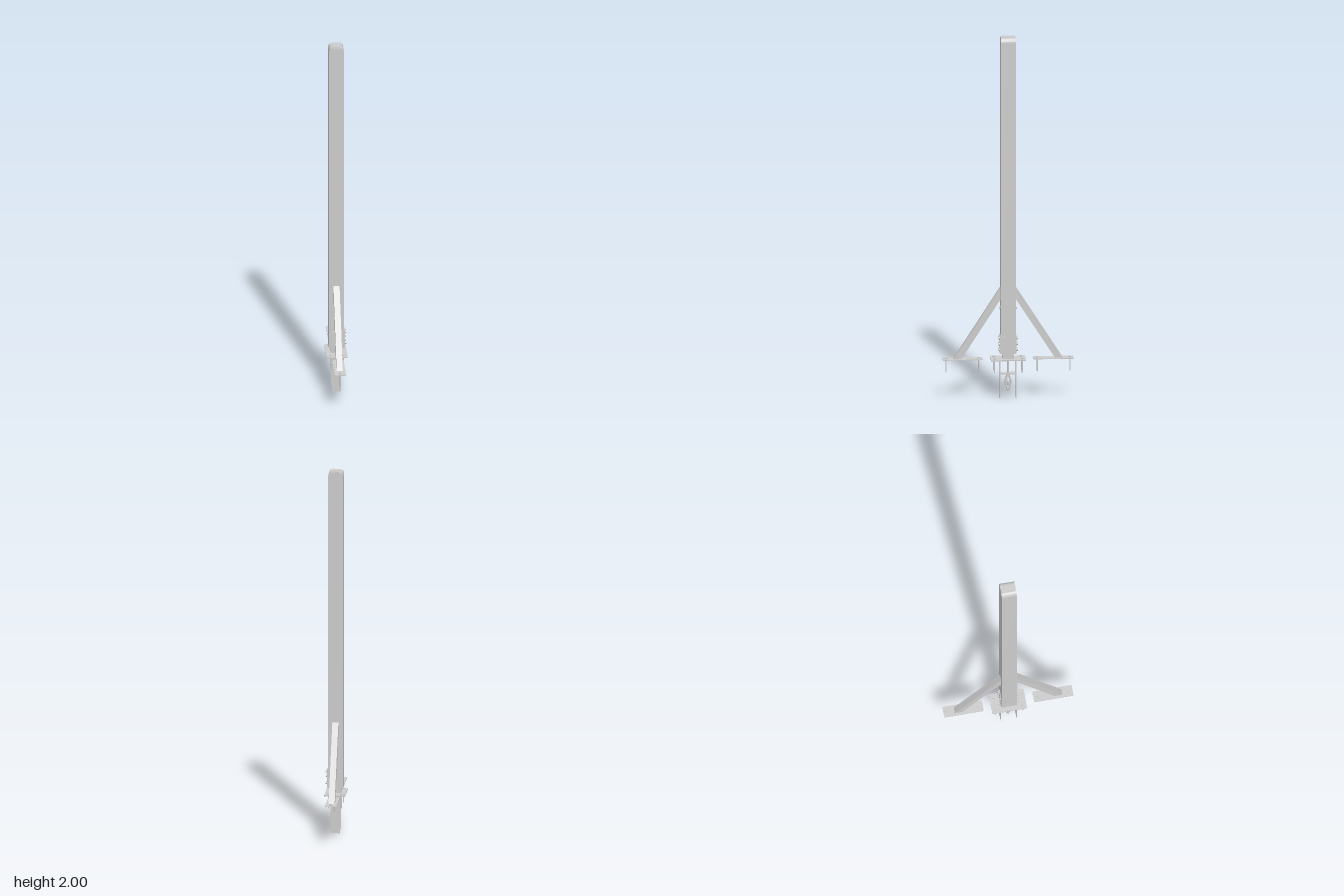
import * as THREE from 'three';
import { toCreasedNormals } from 'three/addons/utils/BufferGeometryUtils.js';

const steel = new THREE.MeshStandardMaterial({ color: 0xcccccc });

function add(parent, name, geometry, x = 0, y = 0, z = 0) {
  const mesh = new THREE.Mesh(geometry, steel);
  mesh.name = name;
  mesh.position.set(x, y, z);
  parent.add(mesh);
  return mesh;
}

const box = (w, h, d) => new THREE.BoxGeometry(w, h, d);

// Flat plate with rounded corners, lying in the xz plane, top face at y = 0
function roundedPlate(w, d, r, t) {
  const s = new THREE.Shape();
  const a = w / 2, b = d / 2;
  s.moveTo(-a + r, -b);
  s.lineTo(a - r, -b).quadraticCurveTo(a, -b, a, -b + r);
  s.lineTo(a, b - r).quadraticCurveTo(a, b, a - r, b);
  s.lineTo(-a + r, b).quadraticCurveTo(-a, b, -a, b - r);
  s.lineTo(-a, -b + r).quadraticCurveTo(-a, -b, -a + r, -b);
  const g = new THREE.ExtrudeGeometry(s, { depth: t, bevelEnabled: false, curveSegments: 5 });
  return g.rotateX(-Math.PI / 2).translate(0, -t, 0);
}

// Anchor bolt going down into the ground
function anchorBolt(parent, x, z) {
  const bolt = new THREE.Group();
  bolt.name = 'anchorBolt';
  bolt.position.set(x, 0.22, z);
  add(bolt, 'anchorHead', new THREE.CylinderGeometry(0.007, 0.007, 0.006, 16), 0, 0.003, 0);
  add(bolt, 'anchorShank', new THREE.CylinderGeometry(0.0035, 0.0035, 0.075, 12), 0, -0.0375, 0);
  parent.add(bolt);
}

// Hex bolt with washer facing local +z
function hexBolt(parent, x, y, z, r = 0.007) {
  const washer = new THREE.CylinderGeometry(r * 1.2, r * 1.2, 0.002, 16).rotateX(Math.PI / 2);
  const head = new THREE.CylinderGeometry(r, r, 0.006, 6).rotateX(Math.PI / 2);
  add(parent, 'boltWasher', washer, x, y, z + 0.001);
  add(parent, 'boltHead', head, x, y, z + 0.005);
}

export function createModel() {
  const model = new THREE.Group();
  model.name = 'bracedPost';

  // Square post whose top edges are rounded on the left and right
  const half = 0.041, top = 1.997, r = 0.03;
  const profile = new THREE.Shape();
  profile.moveTo(-half, 0.25);
  profile.lineTo(half, 0.25);
  profile.lineTo(half, top - r);
  profile.quadraticCurveTo(half, top, half - r * 0.7, top);
  profile.lineTo(-half + r * 0.7, top);
  profile.quadraticCurveTo(-half, top, -half, top - r);
  const post = new THREE.ExtrudeGeometry(profile, {
    depth: half * 2, bevelEnabled: false, curveSegments: 8,
  }).translate(0, 0, -half);
  add(model, 'post', toCreasedNormals(post, 0.6));
  add(model, 'topCap', box(0.04, 0.012, 0.07), 0, 1.994, 0);

  // Socket and base plate under the post
  add(model, 'socket', box(0.062, 0.05, 0.062), 0, 0.24, 0);
  add(model, 'basePlate', roundedPlate(0.114, 0.19, 0.007, 0.006), 0, 0.22, 0);
  for (const x of [-0.034, 0.034])
    for (const z of [-0.075, 0.075]) anchorBolt(model, x, z);

  // Front and back: brace, foot, clamp plate and ground blade
  for (const [side, turn] of [['front', 0], ['back', Math.PI]]) {
    const g = new THREE.Group();
    g.name = side + 'Support';
    g.rotation.y = turn;
    model.add(g);

    const s = new THREE.Shape();
    s.moveTo(0.253, 0.22);
    s.lineTo(0.295, 0.22);
    s.lineTo(0.04, 0.615);
    s.lineTo(0.04, 0.55);
    s.closePath();
    const brace = new THREE.ExtrudeGeometry(s, { depth: 0.033, bevelEnabled: false });
    brace.translate(0, 0, -0.0165).rotateY(-Math.PI / 2);
    add(g, 'brace', brace);

    add(g, 'footPlate', roundedPlate(0.062, 0.216, 0.007, 0.004), 0, 0.22, 0.246);
    anchorBolt(g, 0, 0.335);
    anchorBolt(g, 0, 0.158);

    add(g, 'clampPlate', box(0.062, 0.1, 0.005), 0, 0.3, 0.0425);
    for (const x of [-0.022, 0.022])
      for (const y of [0.27, 0.302, 0.335]) hexBolt(g, x, y, 0.045);
    hexBolt(g, 0, 0.5, 0.04);

    add(g, 'groundBlade', box(0.048, 0.216, 0.003), 0, 0.108, 0.0435);
  }

  // Clamp plate on the left face
  const clamp = new THREE.Group();
  clamp.name = 'leftClamp';
  clamp.rotation.y = Math.PI / 2;
  model.add(clamp);
  add(clamp, 'clampPlate', box(0.06, 0.1, 0.006), 0, 0.3, 0.043);
  hexBolt(clamp, 0, 0.308, 0.046, 0.008);
  for (const x of [-0.021, 0.021])
    for (const y of [0.272, 0.335]) hexBolt(clamp, x, y, 0.046, 0.006);

  // Crossbar between the blades carrying the tie rod and its eye
  add(model, 'crossbar', box(0.044, 0.005, 0.086), 0, 0.135, 0);
  add(model, 'tieRod', new THREE.CylinderGeometry(0.005, 0.005, 0.1, 12), 0, 0.175, 0);
  add(model, 'rodNut', new THREE.CylinderGeometry(0.01, 0.01, 0.008, 6), 0, 0.127, 0);
  const loop = new THREE.CatmullRomCurve3([
    [0.04, 0], [0.06, 0.008], [0.085, 0.016], [0.108, 0.011], [0.13, 0],
    [0.108, -0.011], [0.085, -0.016], [0.06, -0.008],
  ].map(([y, z]) => new THREE.Vector3(0, y, z)), true);
  add(model, 'tieEye', new THREE.TubeGeometry(loop, 48, 0.0045, 10, true));
  add(model, 'eyePin', new THREE.SphereGeometry(0.008, 14, 10).scale(0.7, 2, 1), 0, 0.085, 0);

  return model;
}
